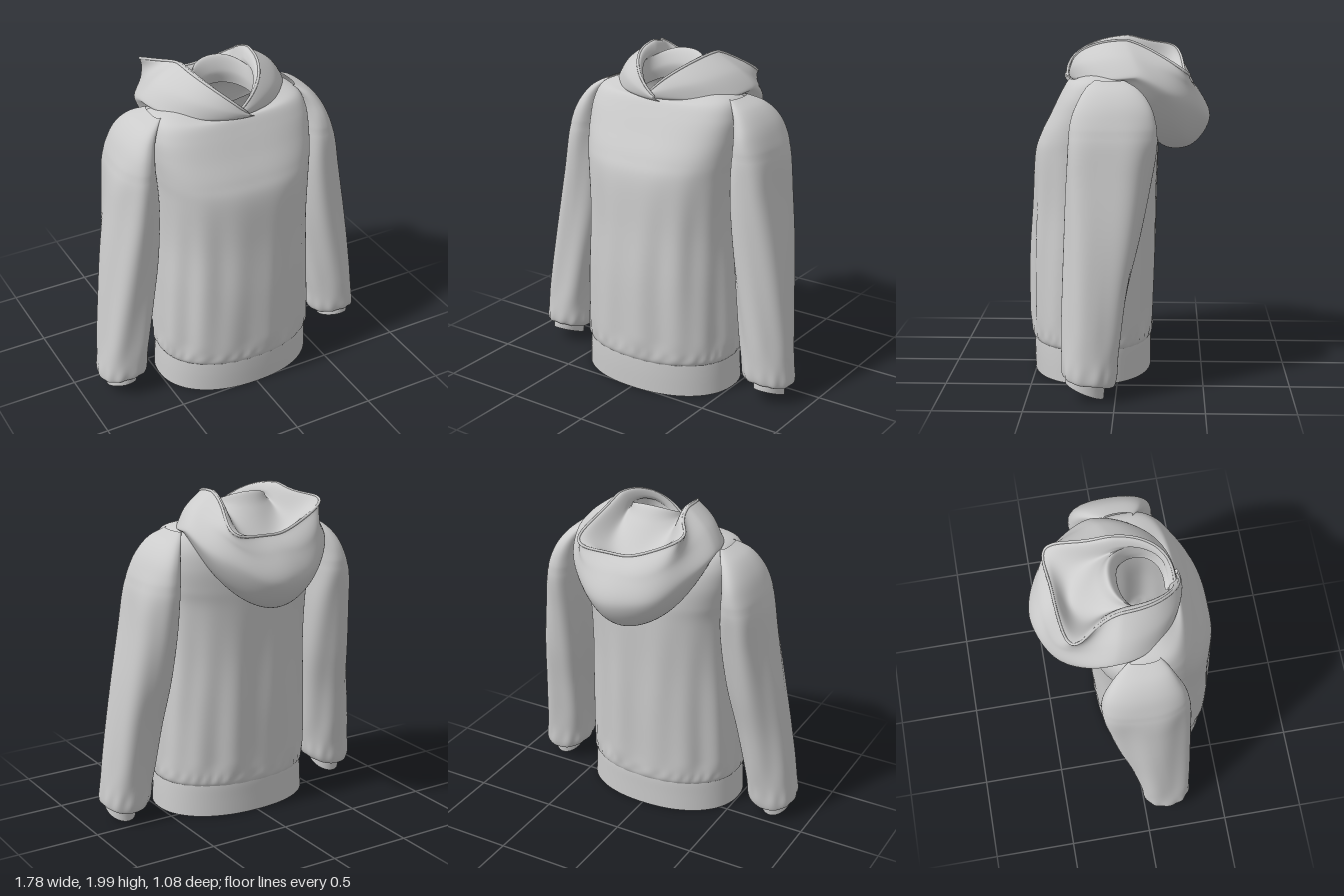
import * as THREE from 'three';

const cloth = new THREE.MeshStandardMaterial({ color: 0xcccccc, roughness: 0.9, side: THREE.DoubleSide });
const { lerp, smoothstep } = THREE.MathUtils;
const bell = (x, c, w) => Math.exp(-(((x - c) / w) ** 2));

// Smooth value of one column of the rows at position v (0..1)
function sample(rows, v) {
  const f = v * (rows.length - 1), i = Math.min(Math.floor(f), rows.length - 2), u = f - i;
  const at = k => rows[Math.max(0, Math.min(rows.length - 1, k))];
  const a = at(i - 1), b = at(i), c = at(i + 1), d = at(i + 2);
  return b.map((p, k) => {
    const m0 = (c[k] - a[k]) / 2, m1 = (d[k] - p) / 2, u2 = u * u, u3 = u2 * u;
    return (2 * u3 - 3 * u2 + 1) * p + (u3 - 2 * u2 + u) * m0 + (3 * u2 - 2 * u3) * c[k] + (u3 - u2) * m1;
  });
}

// Point of a section [halfWidth, zFront, zBack, yFront, ySide, yBack, xCentre, squareness] at angle t (0 = front)
function sectionPoint(rows, t, v, { lap = 0, yPower = 1.6, tweak } = {}) {
  const [w, zf, zb, yf, ys, yb, cx, power] = sample(rows, v);
  const s = Math.sin(t), c = Math.cos(t), e = 2 / power;
  const sx = Math.sign(s) * Math.abs(s) ** e, sz = Math.sign(c) * Math.abs(c) ** e;
  const a = Math.abs(t - Math.PI), h = Math.PI / 2;
  // A lapped front meets in a V; everything else blends round
  const front = lap ? Math.min(1, (a - h) / (h + lap)) ** 1.3 : Math.abs(c);
  const y = a > h ? lerp(ys, yf, front ** yPower) : lerp(ys, yb, Math.abs(c) ** yPower);
  const p = new THREE.Vector3(cx + w * sx, y, (zf + zb) / 2 + (zf - zb) / 2 * sz);
  if (tweak) tweak(p, t, v);
  return p;
}

// Surface through the sections; with a lap, both ends run past the front centre
function loft(name, rows, segments, steps, opts = {}) {
  const lap = opts.lap || 0, cols = lap ? segments + 1 : segments, pos = [], index = [];
  for (let j = 0; j <= steps; j++)
    for (let i = 0; i < cols; i++) {
      const t = -lap + (i / segments) * (2 * Math.PI + 2 * lap);
      pos.push(...sectionPoint(rows, t, j / steps, opts).toArray());
    }
  for (let j = 0; j < steps; j++)
    for (let i = 0; i < segments; i++) {
      const a = j * cols + i, b = j * cols + (i + 1) % cols;
      index.push(a, b, b + cols, a, b + cols, a + cols);
    }
  const g = new THREE.BufferGeometry();
  g.setAttribute('position', new THREE.Float32BufferAttribute(pos, 3));
  g.setIndex(index);
  g.computeVertexNormals();
  const mesh = new THREE.Mesh(g, cloth);
  mesh.name = name;
  return mesh;
}

// Flat ring: same height all around
const ring = (y, w, zf, zb, power = 2.2) => [w, zf, zb, y, y, y, 0, power];

function makeBody() {
  const body = new THREE.Group();
  body.name = 'body';
  // The shoulders are squarer, so the sides lie flat against the sleeves
  const rows = [
    ring(0.195, 0.482, 0.517, -0.19), ring(0.24, 0.495, 0.53, -0.2), ring(0.42, 0.492, 0.535, -0.205),
    ring(0.7, 0.48, 0.535, -0.215), ring(1.0, 0.465, 0.52, -0.222, 2.3), ring(1.3, 0.47, 0.505, -0.232, 2.5),
    ring(1.43, 0.48, 0.465, -0.232, 2.8), ring(1.56, 0.49, 0.4, -0.22, 3.1), ring(1.67, 0.485, 0.345, -0.19, 3.2),
    [0.445, 0.305, -0.145, 1.74, 1.755, 1.74, 0, 2.9], [0.33, 0.28, -0.08, 1.745, 1.79, 1.79, 0, 2.4],
    [0.18, 0.25, -0.04, 1.735, 1.8, 1.84, 0, 2],
  ];
  // Hanging folds and puckers above the waistband
  const tweak = (p, t) => {
    const drape = 0.006 * (1 - smoothstep(p.y, 0.7, 1.5)) * smoothstep(p.y, 0.2, 0.35);
    const pucker = 0.004 * bell(p.y, 0.235, 0.03);
    const k = drape * (Math.sin(9 * t + 2 * p.y) + Math.sin(14 * t - p.y)) + pucker * Math.sin(34 * t + 2 * Math.sin(5 * t));
    p.x += Math.sin(t) * k;
    p.z += Math.cos(t) * k;
  };
  body.add(loft('torso', rows, 160, 88, { tweak }));
  body.add(loft('waistband', [
    ring(0, 0.495, 0.515, -0.19), ring(0.1, 0.49, 0.518, -0.19), ring(0.17, 0.485, 0.518, -0.191), ring(0.2, 0.482, 0.517, -0.19),
  ], 96, 9));
  return body;
}

function makeSleeve(side) {
  const sleeve = new THREE.Group();
  sleeve.name = side > 0 ? 'leftSleeve' : 'rightSleeve';
  // Row from inner and outer x; tilt raises the front edge over the back edge
  const row = (y, xin, xout, zf, zb, tilt = 0, power = 2.3) =>
    [(xout - xin) / 2, zf, zb, y + tilt, y, y - tilt, side * (xin + xout) / 2, power];
  const rows = [
    row(0.135, 0.675, 0.84, 0.265, 0.05, 0.03), row(0.105, 0.63, 0.875, 0.285, 0.015, 0.03),
    row(0.14, 0.592, 0.888, 0.3, -0.005, 0.03), row(0.28, 0.575, 0.872, 0.3, -0.02, 0.02),
    row(0.6, 0.53, 0.832, 0.295, -0.07), row(0.9, 0.485, 0.79, 0.29, -0.135),
    row(1.2, 0.465, 0.74, 0.285, -0.19), row(1.43, 0.47, 0.703, 0.275, -0.225),
    row(1.56, 0.475, 0.66, 0.255, -0.215), row(1.65, 0.465, 0.612, 0.22, -0.18),
    row(1.72, 0.44, 0.545, 0.18, -0.12), row(1.765, 0.41, 0.455, 0.13, -0.04),
  ];
  // Soft lengthwise folds, a faint upper-arm seam and gathers at the wrist
  const tweak = (p, t) => {
    const mid = smoothstep(p.y, 0.14, 0.4) * (1 - smoothstep(p.y, 1.3, 1.6));
    const k = 0.008 * mid * Math.sin(5 * t + 3 * p.y * side) + 0.004 * bell(p.y, 0.15, 0.06) * Math.sin(11 * t)
      - 0.002 * bell(p.y, 1.47, 0.015);
    p.x += Math.sin(t) * k;
    p.z += Math.cos(t) * k;
  };
  sleeve.add(loft('sleeveTube', rows, 72, 77, { tweak }));
  const cuff = [
    row(0.05, 0.67, 0.845, 0.28, 0.065, 0.045, 2), row(0.09, 0.67, 0.842, 0.278, 0.06, 0.04, 2),
    row(0.14, 0.675, 0.84, 0.265, 0.05, 0.03, 2),
  ];
  sleeve.add(loft('cuff', cuff, 40, 6, { yPower: 1 }));
  return sleeve;
}

function makeHood() {
  const hood = new THREE.Group();
  hood.name = 'hood';
  // From the underside of the hanging bag, over the rim, down into the neck
  const rows = [
    [0.32, 0.26, -0.12, 1.73, 1.76, 1.6, 0, 2], [0.38, 0.28, -0.24, 1.73, 1.755, 1.36, 0, 2],
    [0.425, 0.295, -0.42, 1.735, 1.765, 1.35, 0, 2], [0.435, 0.31, -0.53, 1.745, 1.79, 1.51, 0, 1.95],
    [0.36, 0.315, -0.475, 1.75, 1.885, 1.67, 0, 2], [0.25, 0.305, -0.395, 1.755, 1.965, 1.755, 0, 2],
    [0.205, 0.295, -0.37, 1.75, 1.985, 1.765, 0, 2], [0.175, 0.28, -0.29, 1.74, 1.94, 1.7, 0, 2],
    [0.175, 0.27, -0.15, 1.735, 1.91, 1.88, 0, 2], [0.178, 0.265, -0.085, 1.73, 1.9, 1.965, 0, 2.2],
    [0.17, 0.25, -0.035, 1.725, 1.82, 1.88, 0, 2.2], [0.172, 0.245, -0.05, 1.72, 1.76, 1.8, 0, 2],
  ];
  const rimV = 5.5 / (rows.length - 1);
  const tweak = (p, t, v) => {
    // Two uneven corners of the rim at the back, the right one standing higher
    const nearRim = bell(v, rimV, 0.12);
    for (const [at, dx, dy, dz] of [[Math.PI - 0.75, 0.14, -0.04, -0.1], [Math.PI + 0.75, -0.18, 0.07, -0.04]]) {
      const k = nearRim * bell(t, at, 0.42);
      p.x += dx * k;
      p.y += dy * k;
      p.z += dz * k;
    }
    // One front edge laps over the other
    p.z += 0.012 * (smoothstep(t, 5.4, 6.3) - smoothstep(-t, -0.9, 0));
    // Slanting folds on the outer cloth
    const outer = bell(v, 0.32, 0.13) * Math.sin(t / 2) ** 2;
    p.y += 0.012 * outer * Math.sin(7 * t + 14 * v);
    p.z -= 0.01 * outer * Math.sin(5 * t + 20 * v);
  };
  const opts = { lap: 0.17, yPower: 1.4, tweak };
  hood.add(loft('hoodCloth', rows, 144, 99, opts));

  // Rolled hem along the opening
  const path = [];
  for (let i = 0; i <= 60; i++)
    path.push(sectionPoint(rows, lerp(-0.15, 2 * Math.PI + 0.15, i / 60), rimV, opts));
  const hem = new THREE.Mesh(new THREE.TubeGeometry(new THREE.CatmullRomCurve3(path), 150, 0.008, 8), cloth);
  hem.name = 'hoodHem';
  hood.add(hem);
  return hood;
}

export function createModel() {
  const model = new THREE.Group();
  model.name = 'hoodedSweatshirt';
  model.add(makeBody(), makeSleeve(1), makeSleeve(-1), makeHood());
  return model;
}
